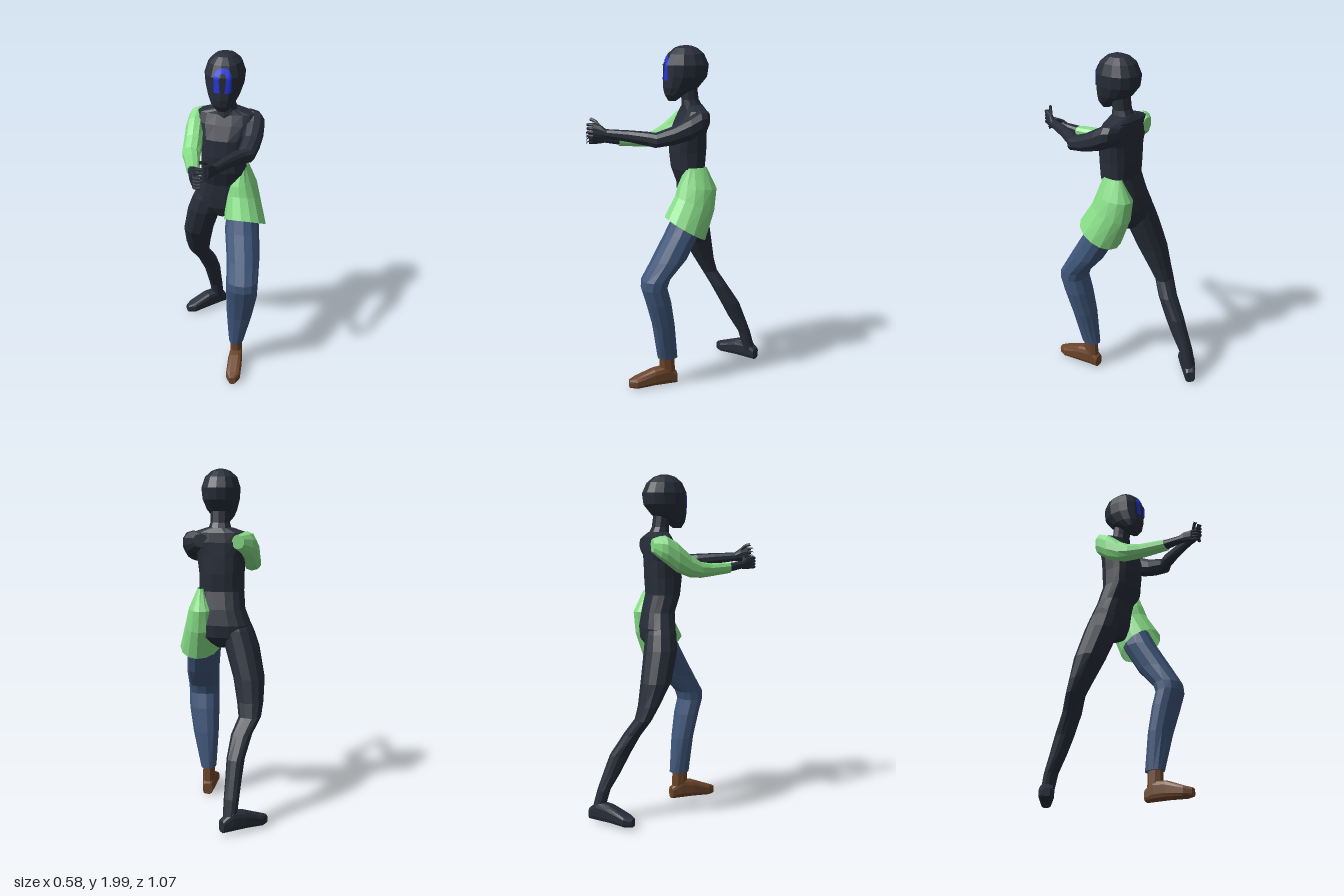
import * as THREE from 'three';

const mat = (name, color, side = THREE.FrontSide) => {
  const m = new THREE.MeshStandardMaterial({ color, side });
  m.name = name;
  return m;
};

// Skin over elliptical rings [x, y, z, rx, r2, tilt]. axis 'y': rings lie flat (r2 = depth);
// axis 'z': rings stand upright (r2 = height). Rings run in ascending order along the axis.
// tilt raises a flat ring towards +z; boxy < 1 squares the rings off.
function loft(rings, { axis = 'y', sides = 12, boxy = 0.9, caps = true } = {}) {
  const pos = [], idx = [];
  const pw = v => Math.sign(v) * Math.abs(v) ** boxy;
  rings.forEach(([x, y, z, rx, r2, tilt = 0]) => {
    for (let i = 0; i < sides; i++) {
      const t = ((i + 0.5) / sides) * Math.PI * 2;
      const u = pw(Math.cos(t)) * rx, v = pw(Math.sin(t)) * r2;
      if (axis === 'y') pos.push(x + u, y - v * tilt, z - v);
      else pos.push(x + u, y + v, z);
    }
  });
  for (let r = 0; r < rings.length - 1; r++) {
    for (let i = 0; i < sides; i++) {
      const j = (i + 1) % sides, a = r * sides, b = a + sides;
      idx.push(a + i, a + j, b + j, a + i, b + j, b + i);
    }
  }
  if (caps) {
    const last = rings.length - 1, c = rings.length * sides;
    pos.push(...rings[0].slice(0, 3), ...rings[last].slice(0, 3));
    for (let i = 0; i < sides; i++) {
      const j = (i + 1) % sides;
      idx.push(c, j, i, c + 1, last * sides + i, last * sides + j);
    }
  }
  const g = new THREE.BufferGeometry();
  g.setAttribute('position', new THREE.Float32BufferAttribute(pos, 3));
  g.setIndex(idx);
  const flat = g.toNonIndexed();
  flat.computeVertexNormals();
  return flat;
}

export function createModel() {
  const model = new THREE.Group();
  const dark = mat('dark suit', 0x272d39);
  const green = mat('green cloth', 0x86dc86, THREE.DoubleSide);
  const denim = mat('blue trouser', 0x3f567a);
  const brown = mat('brown shoe', 0x6c452b);
  const markBlue = mat('blue mark', 0x2236dd, THREE.DoubleSide);

  const add = (name, geometry, material) => {
    const m = new THREE.Mesh(geometry, material);
    m.name = name;
    model.add(m);
    return m;
  };

  // Head and neck
  const head = add('head', loft([
    [0.035, 1.695, 0.038, 0.03, 0.022],
    [0.035, 1.73, 0.025, 0.062, 0.056],
    [0.035, 1.77, -0.012, 0.085, 0.102],
    [0.035, 1.83, -0.037, 0.104, 0.127],
    [0.035, 1.895, -0.042, 0.11, 0.131],
    [0.035, 1.955, -0.041, 0.09, 0.104],
    [0.035, 1.988, -0.04, 0.054, 0.064],
    [0.035, 2.0, -0.04, 0.022, 0.028],
  ], { sides: 14 }), dark);
  add('neck', loft([
    [0.035, 1.62, -0.08, 0.09, 0.07],
    [0.035, 1.665, -0.075, 0.066, 0.06],
    [0.035, 1.7, -0.066, 0.056, 0.05],
    [0.035, 1.78, -0.055, 0.055, 0.05],
  ], { sides: 10 }), dark);

  // Arch-shaped face mark laid onto the head surface, legs thickening downwards
  const ray = new THREE.Raycaster();
  const onFace = (x, y) => {
    ray.set(new THREE.Vector3(x, y, 1), new THREE.Vector3(0, 0, -1));
    const hit = ray.intersectObject(head)[0];
    return [x, y, (hit ? hit.point.z : 0.06) + 0.004];
  };
  const arch = [];
  for (let i = 0; i <= 8; i++) arch.push([1, 0, 1.812 + i * 0.0107, 0.013 + i * 0.001]);
  for (let i = 1; i < 12; i++) arch.push([Math.cos(i * Math.PI / 12), Math.sin(i * Math.PI / 12), 1.898, 0.021]);
  for (let i = 8; i >= 0; i--) arch.push([-1, 0, 1.812 + i * 0.0107, 0.013 + i * 0.001]);
  const mp = [], mi = [], steps = 4;
  arch.forEach(([c, s, y, inner], k) => {
    for (let j = 0; j <= steps; j++) {
      const r = inner + ((0.048 - inner) * j) / steps;
      mp.push(...onFace(0.046 + c * r, y + s * r));
      if (k && j) {
        const a = (k - 1) * (steps + 1) + j, b = a + steps + 1;
        mi.push(a - 1, a, b, a - 1, b, b - 1);
      }
    }
  });
  const markGeo = new THREE.BufferGeometry();
  markGeo.setAttribute('position', new THREE.Float32BufferAttribute(mp, 3));
  markGeo.setIndex(mi);
  markGeo.computeVertexNormals();
  add('faceMark', markGeo, markBlue);

  // Torso from crotch to collar
  add('torso', loft([
    [0.015, 0.985, -0.085, 0.035, 0.05],
    [0.005, 1.05, -0.097, 0.14, 0.09],
    [0.0, 1.12, -0.098, 0.152, 0.096],
    [0.018, 1.21, -0.087, 0.132, 0.09],
    [0.028, 1.31, -0.055, 0.129, 0.095],
    [0.028, 1.41, -0.053, 0.13, 0.105],
    [0.03, 1.51, -0.056, 0.14, 0.103],
    [0.035, 1.59, -0.075, 0.17, 0.084],
    [0.035, 1.645, -0.085, 0.16, 0.066],
    [0.035, 1.672, -0.078, 0.075, 0.055],
  ], { sides: 16, boxy: 0.8 }), dark);

  // Short cloth leg over the left hip, open below
  add('shortsLeg', loft([
    [0.165, 0.98, -0.012, 0.124, 0.118, 0.6],
    [0.14, 1.12, -0.075, 0.1, 0.115, 0.4],
    [0.13, 1.21, -0.09, 0.084, 0.114, 0.1],
    [0.138, 1.325, -0.08, 0.026, 0.062],
  ], { sides: 14, boxy: 1, caps: false }), green);

  // Left leg, bent forward
  add('leftTrouserLeg', loft([
    [0.145, 0.18, 0.09, 0.046, 0.06],
    [0.167, 0.4, 0.118, 0.078, 0.066],
    [0.183, 0.55, 0.15, 0.092, 0.074],
    [0.189, 0.64, 0.175, 0.093, 0.076],
    [0.188, 0.69, 0.165, 0.094, 0.083],
    [0.176, 0.8, 0.085, 0.097, 0.1],
    [0.15, 0.95, 0.0, 0.1, 0.1],
    [0.14, 1.06, -0.05, 0.085, 0.095],
  ]), denim);
  add('leftAnkle', loft([
    [0.145, 0.07, 0.09, 0.036, 0.048],
    [0.145, 0.2, 0.095, 0.035, 0.046],
  ], { sides: 8 }), brown);

  // Right leg, stretched backward and merging into the hip
  add('rightLeg', loft([
    [-0.105, 0.08, -0.488, 0.038, 0.036],
    [-0.11, 0.2, -0.455, 0.043, 0.037],
    [-0.112, 0.3, -0.405, 0.046, 0.05],
    [-0.115, 0.4, -0.36, 0.051, 0.057],
    [-0.135, 0.52, -0.29, 0.06, 0.05],
    [-0.172, 0.61, -0.235, 0.065, 0.047],
    [-0.168, 0.69, -0.2, 0.076, 0.06],
    [-0.152, 0.82, -0.152, 0.09, 0.087],
    [-0.102, 1.0, -0.108, 0.1, 0.095],
    [-0.075, 1.09, -0.098, 0.093, 0.088],
    [-0.03, 1.23, -0.085, 0.07, 0.06],
  ]), dark);

  // Feet share one wedge shape
  const footGeo = loft([
    [0, 0.055, -0.028, 0.03, 0.035],
    [0, 0.077, 0.03, 0.038, 0.057],
    [0, 0.072, 0.11, 0.044, 0.052],
    [0, 0.048, 0.22, 0.044, 0.033],
    [0, 0.043, 0.262, 0.02, 0.024],
  ], { axis: 'z', sides: 12, boxy: 0.6 });
  const foot = (name, material, x, y, z, turn) => {
    const f = add(name, footGeo, material);
    f.position.set(x, y, z);
    f.rotation.y = turn;
  };
  foot('leftShoe', brown, 0.143, -0.008, 0.063, 0.09);
  foot('rightFoot', dark, -0.088, 0, -0.503, -0.84);

  // Arms reach forward, starting inside the shoulders
  const armOpt = { axis: 'z', sides: 10 };
  add('leftArm', loft([
    [0.13, 1.6, -0.152, 0.045, 0.038],
    [0.17, 1.592, -0.125, 0.065, 0.06],
    [0.187, 1.585, -0.09, 0.066, 0.07],
    [0.2, 1.555, -0.03, 0.058, 0.066],
    [0.202, 1.52, 0.06, 0.052, 0.053],
    [0.192, 1.495, 0.16, 0.05, 0.042],
    [0.16, 1.5, 0.2, 0.042, 0.04],
    [0.118, 1.512, 0.3, 0.03, 0.033],
    [0.073, 1.522, 0.42, 0.023, 0.026],
    [0.063, 1.532, 0.45, 0.021, 0.04],
    [0.048, 1.54, 0.492, 0.018, 0.043],
  ], armOpt), dark);
  add('rightSleeve', loft([
    [-0.085, 1.595, -0.15, 0.035, 0.04],
    [-0.113, 1.585, -0.115, 0.055, 0.064],
    [-0.125, 1.575, -0.085, 0.058, 0.078],
    [-0.135, 1.53, -0.02, 0.053, 0.085],
    [-0.127, 1.48, 0.06, 0.053, 0.065],
    [-0.12, 1.456, 0.13, 0.052, 0.046],
    [-0.095, 1.454, 0.2, 0.046, 0.038],
    [-0.055, 1.462, 0.335, 0.037, 0.031],
  ], armOpt), green);
  add('rightHand', loft([
    [-0.058, 1.462, 0.32, 0.032, 0.027],
    [-0.036, 1.477, 0.42, 0.022, 0.022],
    [-0.029, 1.485, 0.45, 0.02, 0.034],
    [-0.014, 1.49, 0.49, 0.018, 0.037],
  ], armOpt), dark);

  // Curled fingers and thumbs
  const finger = (name, pts) => add(name, new THREE.TubeGeometry(
    new THREE.CatmullRomCurve3(pts.map(p => new THREE.Vector3(...p))), 5, 0.0095, 6), dark);
  for (let i = 0; i < 4; i++) {
    const yl = 1.507 + i * 0.021, yr = 1.463 + i * 0.018;
    finger('leftFinger', [[0.052, yl, 0.475], [0.036, yl, 0.517], [0.006, yl - 0.005, 0.508]]);
    finger('rightFinger', [[-0.016, yr, 0.475], [-0.004, yr, 0.517], [0.026, yr, 0.515]]);
  }
  finger('leftThumb', [[0.06, 1.555, 0.45], [0.038, 1.588, 0.475], [0.014, 1.598, 0.5]]);
  finger('rightThumb', [[-0.028, 1.5, 0.44], [-0.002, 1.52, 0.452], [0.026, 1.525, 0.465]]);

  return model;
}
